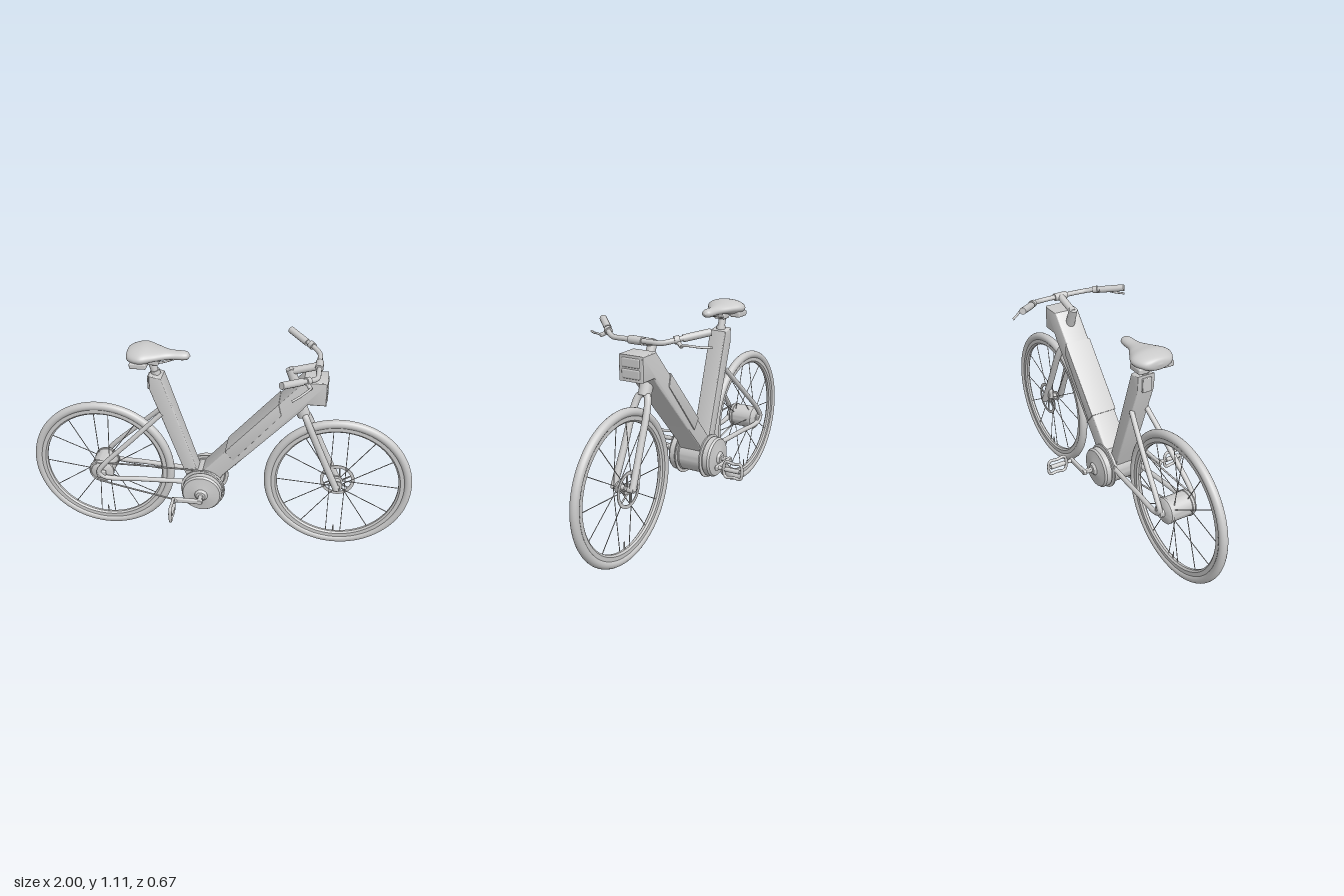
import * as THREE from 'three';
import { mergeVertices, toCreasedNormals } from 'three/addons/utils/BufferGeometryUtils.js';
import { RoundedBoxGeometry } from 'three/addons/geometries/RoundedBoxGeometry.js';

const V = (x, y, z) => new THREE.Vector3(x, y, z);
const material = new THREE.MeshStandardMaterial({ color: 0xcccccc });
const doubleSided = new THREE.MeshStandardMaterial({ color: 0xcccccc, side: THREE.DoubleSide });

export function createModel() {
  const model = new THREE.Group();
  const add = (name, geometry, parent = model) => {
    const mesh = new THREE.Mesh(geometry, material);
    mesh.name = name;
    parent.add(mesh);
    return mesh;
  };
  // Straight round bar between two points, optionally tapered
  const bar = (name, a, b, r0, r1 = r0, parent = model, sides = 16) => {
    const dir = b.clone().sub(a);
    const mesh = add(name, new THREE.CylinderGeometry(r1, r0, dir.length(), sides), parent);
    mesh.position.copy(a).add(b).multiplyScalar(0.5);
    mesh.quaternion.setFromUnitVectors(V(0, 1, 0), dir.normalize());
    return mesh;
  };
  const bentTube = (name, points, r, parent = model, closed = false, segments = 48) =>
    add(name, new THREE.TubeGeometry(new THREE.CatmullRomCurve3(points, closed), segments, r, 12, closed), parent);
  // Profile of [radius, z] points turned about the z axis
  const turned = (name, profile, parent = model, sides = 48) => {
    const g = new THREE.LatheGeometry(profile.map(([r, z]) => new THREE.Vector2(r, z)), sides);
    return add(name, toCreasedNormals(g.rotateX(Math.PI / 2), 0.6), parent);
  };
  const symmetric = half => [...half.map(([r, z]) => [r, -z]).reverse(), ...half];
  // Side outline extruded across the bike, with a small bevel
  const slab = (name, outline, halfWidth, bevel = 0.008) => {
    const shape = new THREE.Shape(outline.map(([x, y]) => new THREE.Vector2(x, y)));
    const g = new THREE.ExtrudeGeometry(shape, {
      depth: 2 * (halfWidth - bevel), bevelThickness: bevel, bevelSize: bevel, bevelOffset: -bevel, bevelSegments: 3 });
    return add(name, toCreasedNormals(g.translate(0, 0, bevel - halfWidth), 0.5));
  };
  const box = (name, w, h, d, x, y, z, radius = 0.006, parent = model) => {
    const mesh = add(name, new RoundedBoxGeometry(w, h, d, 3, radius), parent);
    mesh.position.set(x, y, z);
    return mesh;
  };

  // Wheels: tyre, rim, spokes and valve
  const wheel = (name, x, hubRadius, flange) => {
    const g = new THREE.Group();
    g.name = name;
    g.position.set(x, 0.385, 0);
    model.add(g);
    add('tyre', new THREE.TorusGeometry(0.359, 0.022, 16, 96), g);
    turned('rim', [[0.345, 0.014], [0.322, 0.014], [0.313, 0.006], [0.313, -0.006], [0.322, -0.014], [0.345, -0.014]], g, 96)
      .material = doubleSided;
    [0, 30, 56, 83, 97, 124, 150, 180, 210, 236, 263, 277, 304, 330].forEach((deg, i) => {
      const a = deg * Math.PI / 180, z = i % 2 ? flange : -flange;
      const upright = Math.abs(Math.cos(a)) < 0.2;
      const outer = V(0.316 * Math.cos(a), 0.316 * Math.sin(a), 0);
      const inner = upright ? V(outer.x, 0, z) : V(hubRadius * Math.cos(a), hubRadius * Math.sin(a), z);
      bar('spoke', inner, outer, 0.0022, 0.0022, g, 6);
    });
    bar('valve', V(0, -0.315, 0), V(0, -0.275, 0), 0.004, 0.003, g, 8);
    return g;
  };
  const rearWheel = wheel('rearWheel', -0.619, 0.05, 0.045);
  const frontWheel = wheel('frontWheel', 0.619, 0.022, 0.025);
  turned('rearHub', symmetric([[0.062, 0.052], [0.066, 0.054], [0.066, 0.066], [0.06, 0.072], [0.025, 0.08],
    [0.018, 0.1], [0, 0.1]]), rearWheel);
  turned('frontHub', symmetric([[0.018, 0.018], [0.028, 0.02], [0.028, 0.028], [0.013, 0.03], [0.013, 0.062], [0, 0.062]]), frontWheel, 24);

  // Front brake disc: thin ring on slanted arms
  const ring = new THREE.Shape().absarc(0, 0, 0.09, 0, Math.PI * 2);
  ring.holes.push(new THREE.Path().absarc(0, 0, 0.073, 0, Math.PI * 2, true));
  const disc = add('brakeDisc', new THREE.ExtrudeGeometry(ring, { depth: 0.004, bevelEnabled: false, curveSegments: 32 }), frontWheel);
  disc.position.z = -0.034;
  for (let i = 0; i < 6; i++) {
    const a = i * Math.PI / 3;
    bar('discArm', V(0.022 * Math.cos(a), 0.022 * Math.sin(a), -0.032),
      V(0.075 * Math.cos(a + 0.4), 0.075 * Math.sin(a + 0.4), -0.032), 0.004, 0.004, frontWheel, 8);
  }
  box('brakeCaliper', 0.035, 0.055, 0.022, 0.562, 0.445, -0.042);

  // Frame: down tube with blocky head, seat tube and battery
  slab('downTube', [[0.42, 1.0], [0.533, 1.0], [0.533, 0.875], [0.44, 0.875], [0.42, 0.845], [0.03, 0.42],
    [-0.02, 0.33], [-0.12, 0.36], [-0.075, 0.435]], 0.067);
  slab('seatTube', [[-0.345, 0.965], [-0.28, 0.955], [-0.11, 0.43], [-0.09, 0.36], [-0.15, 0.34], [-0.182, 0.43], [-0.345, 0.89]], 0.047);
  slab('battery', [[0.303, 0.872], [0.318, 0.808], [0.082, 0.52], [0.04, 0.572]], 0.072, 0.003);
  box('rearLight', 0.025, 0.072, 0.05, -0.344, 0.915, 0, 0.004);
  for (const y of [0.912, 0.965]) box('headlight', 0.02, 0.048, 0.102, 0.527, y, 0, 0.009);

  // Motor drum, with belt rings and covers at both ends
  const motor = turned('motor', symmetric([[0.096, 0.06], [0.1, 0.064], [0.1, 0.068], [0.116, 0.068], [0.116, 0.075],
    [0.096, 0.076], [0.096, 0.081], [0.105, 0.084], [0.105, 0.112], [0.097, 0.122], [0.055, 0.127],
    [0.034, 0.132], [0.024, 0.144], [0.013, 0.146], [0.013, 0.198], [0, 0.198]]), model, 64);
  motor.position.set(-0.075, 0.33, 0);

  // Drive belt around the hub and the motor
  const beltPoints = [];
  const arc = (x, y, r, from, to) => {
    for (let i = 0; i <= 10; i++) {
      const a = (from + (to - from) * i / 10) * Math.PI / 180;
      beltPoints.push(V(x + r * Math.cos(a), y + r * Math.sin(a), 0.073));
    }
  };
  arc(-0.619, 0.385, 0.057, 92, 258);
  arc(-0.075, 0.33, 0.112, 258, 452);
  bentTube('driveBelt', beltPoints, 0.0045, model, true, 160);

  for (const s of [-1, 1]) {
    // Rear triangle: one tube bent round the axle from seat tube to motor
    bentTube('rearStay', [V(-0.285, 0.755, s * 0.042), V(-0.45, 0.592, s * 0.073), V(-0.6, 0.442, s * 0.095),
      V(-0.624, 0.4, s * 0.097), V(-0.595, 0.371, s * 0.095), V(-0.4, 0.365, s * 0.08), V(-0.13, 0.36, s * 0.06)], 0.013, model, false, 90);
    box('dropout', 0.05, 0.045, 0.014, -0.612, 0.386, s * 0.094);

    // Fork blade, curving in to the crown
    bentTube('forkBlade', [V(0.42, 0.795, 0), V(0.434, 0.785, s * 0.022), V(0.457, 0.738, s * 0.036),
      V(0.535, 0.56, s * 0.044), V(0.617, 0.38, s * 0.052)], 0.0175);

    // Crank and pedal, opposite on the two sides
    const crank = new THREE.Group();
    crank.name = s > 0 ? 'rightCrank' : 'leftCrank';
    crank.position.set(-0.075, 0.33, 0);
    crank.rotation.y = s > 0 ? 0 : Math.PI;
    model.add(crank);
    box('crankArm', 0.16, 0.026, 0.018, -0.064, 0, 0.188, 0.007, crank);
    bar('pedalAxle', V(-0.126, 0, 0.175), V(-0.126, 0, 0.325), 0.007, 0.007, crank);
    bar('pedalCollar', V(-0.126, 0, 0.198), V(-0.126, 0, 0.216), 0.012, 0.008, crank);
    bar('pedalBody', V(-0.126, 0, 0.235), V(-0.126, 0, 0.315), 0.012, 0.012, crank);
    bentTube('pedalCage', [[0.228, -0.03], [0.24, -0.042], [0.28, -0.037], [0.315, -0.04], [0.325, -0.03],
      [0.325, 0.03], [0.315, 0.04], [0.28, 0.037], [0.24, 0.042], [0.228, 0.03]].map(([z, y]) => V(-0.126, y, z)),
      0.0075, crank, true, 64);

    // Handlebar half, grip and brake lever
    bentTube('handlebar', [V(0.485, 1.06, 0), V(0.485, 1.06, s * 0.07), V(0.482, 1.06, s * 0.125), V(0.465, 1.066, s * 0.158),
      V(0.41, 1.082, s * 0.215), V(0.335, 1.098, s * 0.285)], 0.0125);
    bar('grip', V(0.415, 1.078, s * 0.205), V(0.326, 1.1, s * 0.297), 0.0175);
    bar('leverClamp', V(0.446, 1.072, s * 0.178), V(0.43, 1.076, s * 0.196), 0.019);
    bar('leverBody', V(0.437, 1.068, s * 0.187), V(0.455, 1.05, s * 0.222), 0.01);
    bentTube('brakeLever', [V(0.46, 1.053, s * 0.21), V(0.445, 1.055, s * 0.245), V(0.41, 1.046, s * 0.29), V(0.375, 1.042, s * 0.332)], 0.0055);

    // Saddle rail
    bentTube('saddleRail', [V(-0.42, 1.05, s * 0.045), V(-0.37, 1.032, s * 0.03), V(-0.29, 1.03, s * 0.022), V(-0.2, 1.055, s * 0.008)], 0.005);
    box('saddlePad', 0.085, 0.03, 0.06, -0.385, 1.037, s * 0.066, 0.008);
  }

  // Steering column, stem and bar clamp
  bar('forkCrown', V(0.426, 0.782, 0), V(0.39, 0.87, 0), 0.033);
  bar('steererTop', V(0.4, 0.9, 0), V(0.345, 1.035, 0), 0.026, 0.022);
  bar('stem', V(0.345, 1.02, 0), V(0.485, 1.06, 0), 0.019);
  bar('barClamp', V(0.485, 1.06, -0.035), V(0.485, 1.06, 0.035), 0.02);

  // Seat post and clamp
  bar('seatPost', V(-0.308, 0.93, 0), V(-0.338, 1.035, 0), 0.019);
  bar('seatPostCollar', V(-0.314, 0.955, 0), V(-0.32, 0.977, 0), 0.024);
  box('saddleClamp', 0.06, 0.026, 0.06, -0.325, 1.028, 0);

  // Saddle: a sphere reshaped along stations of [x, half width, top, bottom]
  const stations = [[-0.455, 0, 1.066, 1.066], [-0.44, 0.072, 1.095, 1.034], [-0.375, 0.105, 1.11, 1.028],
    [-0.31, 0.075, 1.1, 1.04], [-0.24, 0.036, 1.09, 1.045], [-0.157, 0.025, 1.086, 1.048], [-0.14, 0, 1.066, 1.066]];
  const upper = new THREE.CatmullRomCurve3(stations.map(([x, w, t]) => V(x, w, t)));
  const lower = new THREE.CatmullRomCurve3(stations.map(([x, w, , b]) => V(x, w, b)));
  let saddle = new THREE.SphereGeometry(1, 40, 36).rotateZ(-Math.PI / 2);
  const p = saddle.attributes.position;
  for (let i = 0; i < p.count; i++) {
    const x = THREE.MathUtils.clamp(p.getX(i), -1, 1), r = Math.max(Math.sqrt(1 - x * x), 1e-6);
    const t = 1 - Math.acos(x) / Math.PI, up = upper.getPoint(t), low = lower.getPoint(t);
    const c = p.getY(i) / r, mid = (up.z + low.z) / 2;
    p.setXYZ(i, up.x, mid + c * (up.z - low.z) / 2, Math.max(up.y, 0) * p.getZ(i) / r);
  }
  saddle.deleteAttribute('uv');
  saddle.deleteAttribute('normal');
  saddle = mergeVertices(saddle, 1e-5);
  saddle.computeVertexNormals();
  add('saddle', saddle);
  return model;
}
